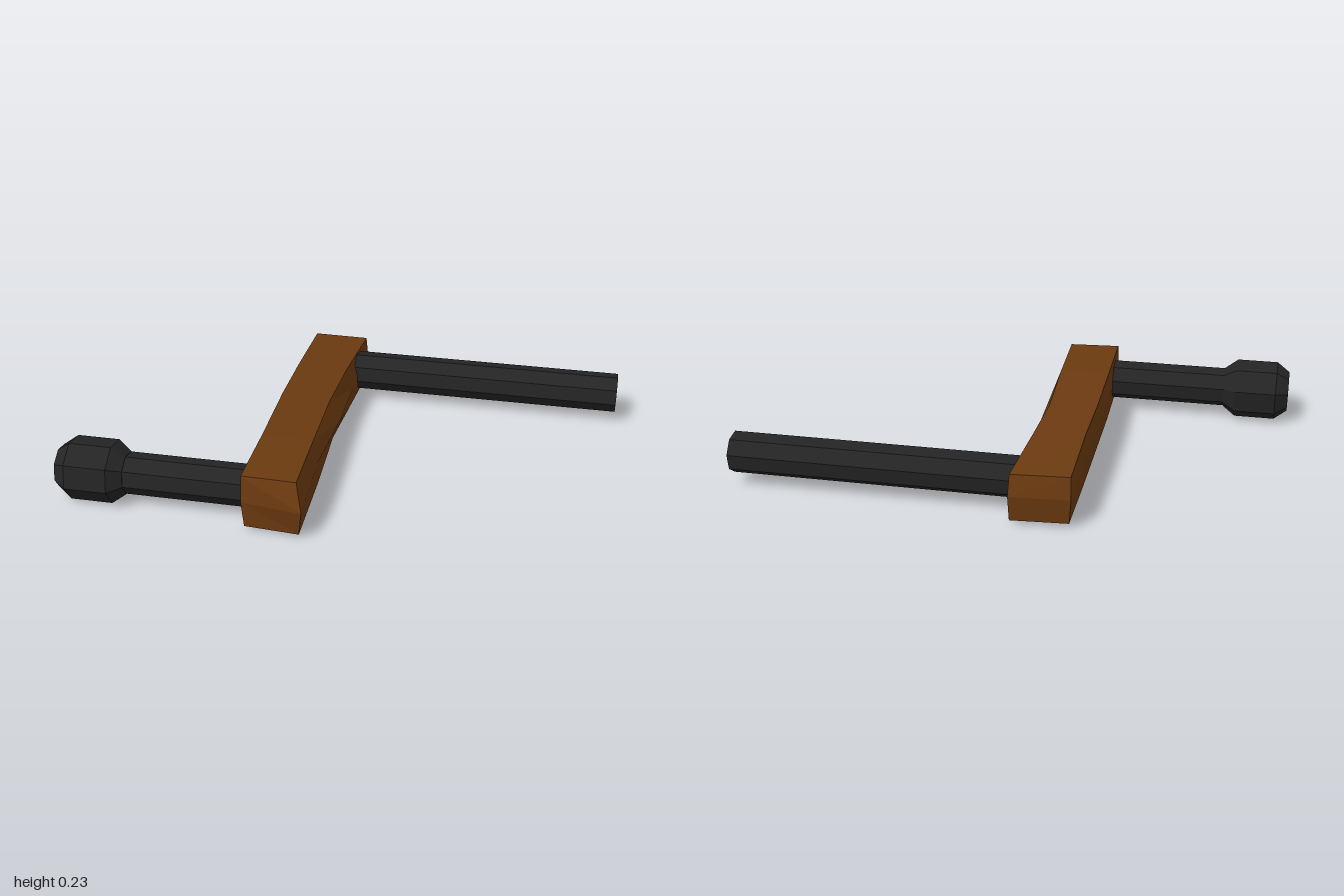
import * as THREE from 'three';

const AXIS_Y = 0.119;
const ROD_TURN = THREE.MathUtils.degToRad(13);

const wood = new THREE.MeshStandardMaterial({ color: 0x6b3a10, flatShading: true });
const iron = new THREE.MeshStandardMaterial({ color: 0x242424, flatShading: true });

// Eight-sided bar lying along x
function bar(name, x0, x1, z, r) {
  const geo = new THREE.CylinderGeometry(r, r, x1 - x0, 8, 1, false, ROD_TURN);
  geo.rotateZ(-Math.PI / 2);
  const mesh = new THREE.Mesh(geo, iron);
  mesh.position.set((x0 + x1) / 2, AXIS_Y, z);
  mesh.name = name;
  return mesh;
}

// Knob with chamfered ends, turned about x
function knob(name, x0, z) {
  const profile = [[0, 0], [0.08, 0], [0.118, 0.05], [0.118, 0.21], [0.08, 0.26], [0, 0.26]];
  const geo = new THREE.LatheGeometry(profile.map(p => new THREE.Vector2(...p)), 8, ROD_TURN);
  geo.rotateZ(-Math.PI / 2);
  const mesh = new THREE.Mesh(geo, iron);
  mesh.position.set(x0, AXIS_Y, z);
  mesh.name = name;
  return mesh;
}

// Roughly hewn wooden arm: six-sided sections joined from front to back
function arm() {
  // each section: top left, top right, mid right, bottom right, bottom left, mid left
  const sections = [
    [[-0.28, 0.225, 0.608], [-0.08, 0.22, 0.605], [-0.055, 0.12, 0.647],
      [-0.07, 0.017, 0.625], [-0.275, 0.017, 0.61], [-0.282, 0.12, 0.617]],
    [[-0.283, 0.22, 0.3], [-0.088, 0.219, 0.3], [-0.075, 0.12, 0.3],
      [-0.08, 0.018, 0.27], [-0.28, 0.016, 0.3], [-0.285, 0.12, 0.3]],
    [[-0.288, 0.223, -0.03], [-0.1, 0.205, -0.03], [-0.06, 0.12, -0.03],
      [-0.09, 0.037, -0.04], [-0.28, 0.015, -0.04], [-0.288, 0.12, -0.03]],
    [[-0.285, 0.222, -0.3], [-0.09, 0.206, -0.3], [-0.064, 0.12, -0.3],
      [-0.08, 0.026, -0.33], [-0.28, 0.015, -0.33], [-0.284, 0.12, -0.3]],
    [[-0.285, 0.203, -0.628], [-0.07, 0.198, -0.635], [-0.066, 0.118, -0.65],
      [-0.068, 0.018, -0.633], [-0.28, 0.022, -0.625], [-0.288, 0.12, -0.64]],
  ];
  const index = [];
  for (let s = 0; s < sections.length - 1; s++) {
    for (let k = 0; k < 6; k++) {
      const a = s * 6 + k, b = s * 6 + (k + 1) % 6;
      index.push(a, b, b + 6, a, b + 6, a + 6);
    }
  }
  // ridged end faces
  const last = (sections.length - 1) * 6;
  for (const [a, b, c] of [[0, 5, 2], [0, 2, 1], [5, 4, 3], [5, 3, 2]]) {
    index.push(a, b, c, last + a, last + c, last + b);
  }
  const geo = new THREE.BufferGeometry();
  geo.setAttribute('position', new THREE.Float32BufferAttribute(sections.flat(2), 3));
  geo.setIndex(index);
  const flat = geo.toNonIndexed();
  flat.computeVertexNormals();
  const mesh = new THREE.Mesh(flat, wood);
  mesh.name = 'crankArm';
  return mesh;
}

export function createModel() {
  const group = new THREE.Group();
  group.name = 'crankHandle';
  group.add(
    arm(),
    bar('axle', -0.12, 1, -0.49, 0.078),
    bar('handleRod', -0.76, -0.24, 0.5, 0.078),
    knob('handleKnob', -1, 0.5),
  );
  return group;
}
